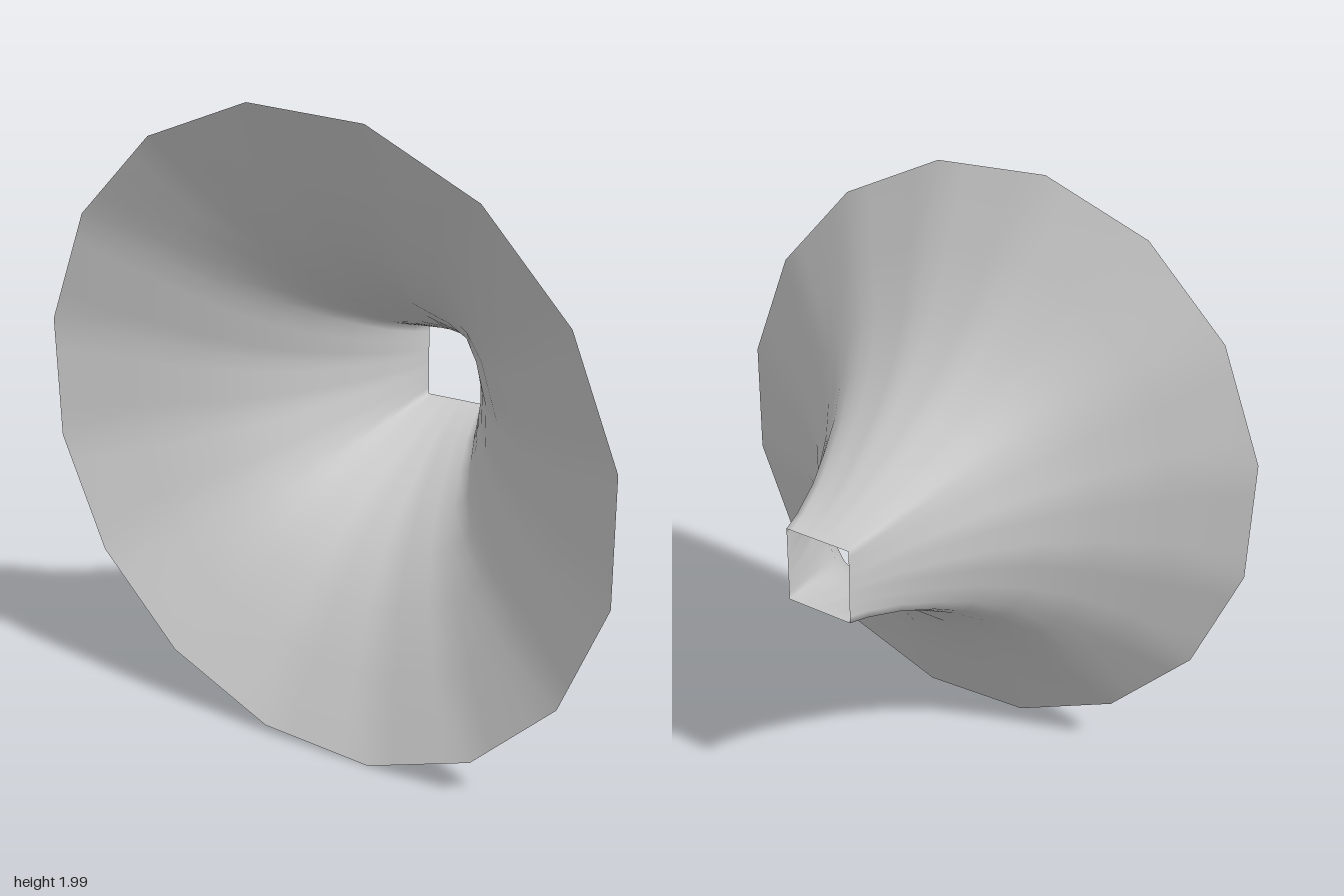
import * as THREE from 'three';

const COLUMNS = 64; // four columns per mouth side
const SIDES = 16;
// [z, share of the way from the square throat to the round mouth]
const RINGS = [
  [-0.45, 0], [-0.38, 0.025], [-0.26, 0.085], [-0.14, 0.165], [-0.02, 0.255],
  [0.1, 0.37], [0.22, 0.53], [0.33, 0.74], [0.45, 1],
];

// Corner of the slightly skewed 16-sided mouth
function mouthCorner(i) {
  const t = ((i + 0.5) / SIDES) * Math.PI * 2;
  return new THREE.Vector2(0.97 * Math.cos(t), 1.003 * Math.sin(t - 0.06));
}

// Point on the straight-sided mouth outline
function mouthPoint(k) {
  const f = (k / COLUMNS) * SIDES - 0.5;
  const i = Math.floor(f);
  return mouthCorner(i).lerp(mouthCorner(i + 1), f - i);
}

// Point on the rectangular throat outline
function throatPoint(k) {
  const t = (k / COLUMNS) * Math.PI * 2;
  const c = Math.cos(t), s = Math.sin(t);
  const m = Math.max(Math.abs(c), Math.abs(s));
  return new THREE.Vector2((0.112 * c) / m, (0.123 * s) / m);
}

// Thin shell lofted through the rings, from throat to mouth
function hornGeometry() {
  const positions = [], index = [];
  RINGS.forEach(([z, w], r) => {
    for (let k = 0; k < COLUMNS; k++) {
      const p = throatPoint(k).lerp(mouthPoint(k), w);
      positions.push(p.x, p.y + 1, z);
      if (r === RINGS.length - 1) continue;
      const a = r * COLUMNS + k;
      const b = r * COLUMNS + ((k + 1) % COLUMNS);
      index.push(a, b, b + COLUMNS, a, b + COLUMNS, a + COLUMNS);
    }
  });
  const geometry = new THREE.BufferGeometry();
  geometry.setAttribute('position', new THREE.Float32BufferAttribute(positions, 3));
  geometry.setIndex(index);
  geometry.computeVertexNormals();
  return geometry;
}

export function createModel() {
  const group = new THREE.Group();
  group.name = 'horn';
  const flare = new THREE.Mesh(
    hornGeometry(),
    new THREE.MeshStandardMaterial({ color: 0xcccccc, side: THREE.DoubleSide }),
  );
  flare.name = 'hornFlare';
  group.add(flare);
  return group;
}
